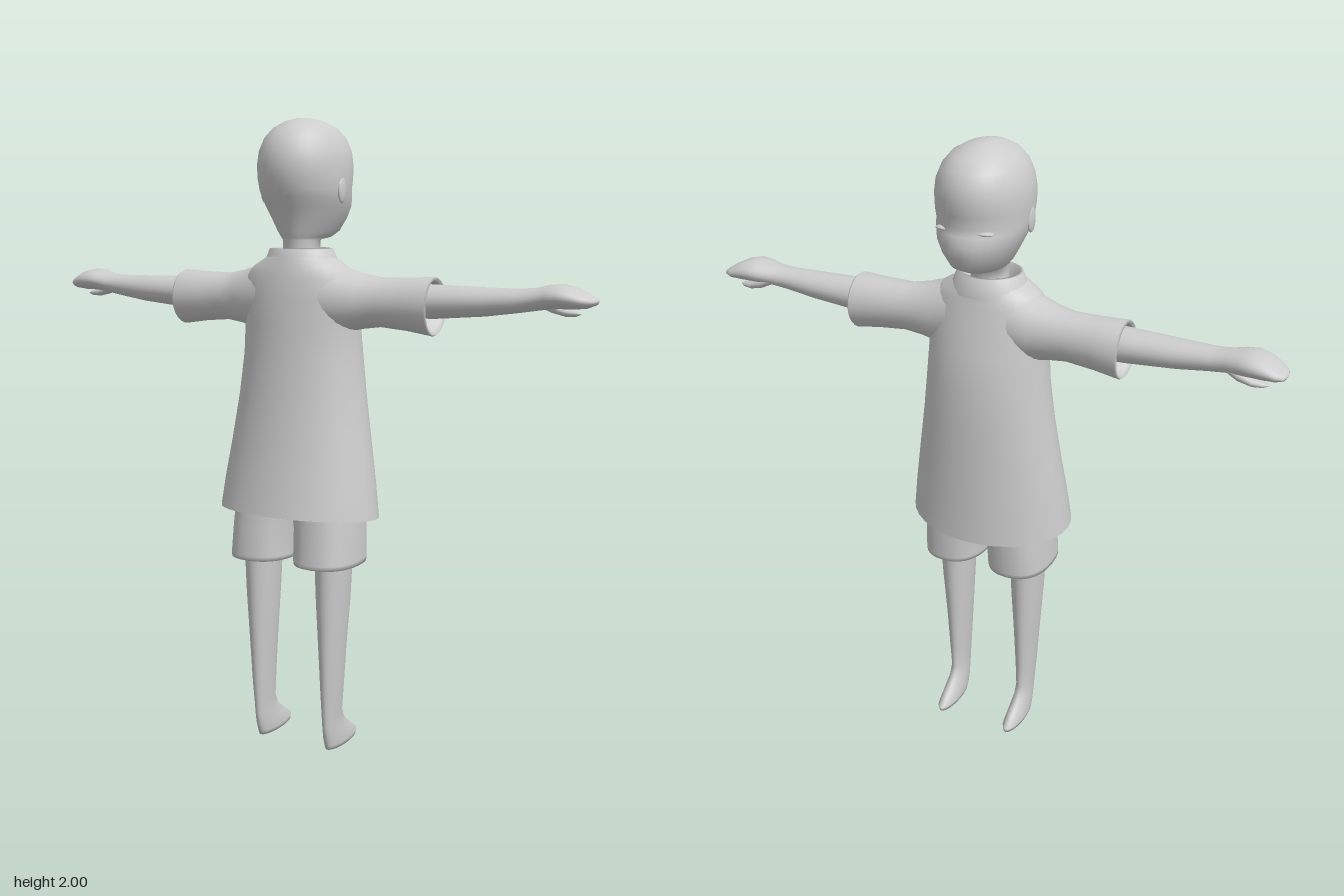
import * as THREE from 'three';

const skinMat = new THREE.MeshStandardMaterial({ color: 0xcccccc, side: THREE.DoubleSide });
skinMat.name = 'light grey';

// Smooth skin over oval sections. Each row is [t, a0, a1, b0, b1, tilt]:
// axis 'y': t = y, a = x range, b = z range; axis 'x': t = x, a = y range, b = z range.
function loft(name, rows, { axis = 'y', side = 1, power = 1, n = 28 } = {}) {
  const pos = [], index = [];
  const round = (v) => Math.sign(v) * Math.pow(Math.abs(v), power);
  for (const [t, a0, a1, b0, b1, tilt = 0] of rows) {
    for (let j = 0; j < n; j++) {
      const th = (j / n) * Math.PI * 2;
      const a = (a0 + a1) / 2 + ((a1 - a0) / 2) * round(Math.cos(th));
      const b = (b0 + b1) / 2 + ((b1 - b0) / 2) * round(Math.sin(th));
      if (axis === 'y') pos.push(a * side, t + tilt * b, b);
      else pos.push(t * side, a, b);
    }
  }
  const flip = (axis === 'x') !== (side < 0);
  for (let i = 0; i < rows.length - 1; i++) {
    for (let j = 0; j < n; j++) {
      const k = (j + 1) % n;
      const a = i * n + j, b = a + n, c = i * n + k, d = c + n;
      if (flip) index.push(a, c, b, c, d, b);
      else index.push(a, b, c, c, b, d);
    }
  }
  const geo = new THREE.BufferGeometry();
  geo.setAttribute('position', new THREE.Float32BufferAttribute(pos, 3));
  geo.setIndex(index);
  geo.computeVertexNormals();
  const mesh = new THREE.Mesh(geo, skinMat);
  mesh.name = name;
  return mesh;
}

function ellipsoid(name, size, at) {
  const geo = new THREE.SphereGeometry(1, 16, 10);
  geo.scale(...size);
  geo.translate(...at);
  const mesh = new THREE.Mesh(geo, skinMat);
  mesh.name = name;
  return mesh;
}

// Symmetric row: half width plus front and back z
const row = (y, rx, zf, zb, tilt) => [y, -rx, rx, zf, zb, tilt];

export function createModel() {
  const g = new THREE.Group();
  g.name = 'child';

  // Neck and head, with the face towards -z
  g.add(loft('head', [
    row(1.54, 0.06, -0.07, 0.06),
    row(1.6, 0.055, -0.068, 0.06),
    row(1.635, 0.055, -0.075, 0.064),
    row(1.642, 0.068, -0.14, 0.068),
    row(1.66, 0.085, -0.178, 0.075),
    row(1.7, 0.108, -0.2, 0.088),
    row(1.735, 0.125, -0.206, 0.105),
    row(1.765, 0.134, -0.198, 0.12),
    row(1.785, 0.137, -0.189, 0.128),
    row(1.82, 0.14, -0.198, 0.14),
    row(1.86, 0.14, -0.203, 0.145),
    row(1.9, 0.134, -0.2, 0.14),
    row(1.94, 0.117, -0.182, 0.122),
    row(1.97, 0.092, -0.148, 0.09),
    row(1.99, 0.055, -0.1, 0.05),
    row(1.998, 0.025, -0.06, 0.015),
    row(2.0, 0.0005, -0.021, -0.02),
  ], { n: 36 }));

  // Shirt body with a hem that dips at the front, open below
  g.add(loft('shirtBody', [
    row(0.777, 0.268, -0.18, 0.205, 0.095),
    row(0.88, 0.255, -0.176, 0.188, 0.05),
    row(1.0, 0.236, -0.172, 0.167),
    row(1.15, 0.213, -0.168, 0.146),
    row(1.28, 0.198, -0.162, 0.132),
    row(1.38, 0.192, -0.145, 0.125),
    row(1.46, 0.195, -0.125, 0.12),
    row(1.52, 0.19, -0.11, 0.112),
    row(1.555, 0.155, -0.103, 0.104),
    row(1.585, 0.105, -0.095, 0.095),
  ], { n: 36 }));
  g.add(loft('collar', [
    row(1.55, 0.13, -0.108, 0.103),
    row(1.575, 0.115, -0.106, 0.097),
    row(1.608, 0.1, -0.092, 0.088),
    row(1.61, 0.09, -0.085, 0.08),
    row(1.57, 0.075, -0.08, 0.07),
  ]));

  // Hips, hidden under the shirt
  g.add(loft('shortsTop', [
    row(0.76, 0.03, -0.08, 0.08),
    row(0.8, 0.205, -0.125, 0.132),
    row(0.95, 0.19, -0.12, 0.125),
    row(0.95, 0.001, -0.001, 0.001),
  ]));

  for (const [side, label] of [[1, 'left'], [-1, 'right']]) {
    g.add(loft(label + 'ShortsLeg', [
      [0.65, 0.07, 0.19, -0.08, 0.1],
      [0.632, 0.02, 0.208, -0.114, 0.142, 0.02],
      [0.626, 0.012, 0.217, -0.122, 0.15, 0.02],
      [0.64, 0.01, 0.217, -0.123, 0.15, 0.02],
      [0.74, 0.008, 0.213, -0.127, 0.14],
      [0.84, -0.01, 0.205, -0.128, 0.13],
    ], { side, power: 0.85 }));

    // Bare leg flowing into a foot that points to -z
    g.add(loft(label + 'Leg', [
      [0.0, 0.124, 0.126, -0.045, -0.044],
      [0.0, 0.097, 0.154, -0.138, 0.05],
      [0.014, 0.094, 0.157, -0.14, 0.054],
      [0.045, 0.097, 0.154, -0.1, 0.065],
      [0.08, 0.101, 0.151, -0.055, 0.071],
      [0.12, 0.101, 0.151, -0.034, 0.074],
      [0.2, 0.097, 0.157, -0.037, 0.08],
      [0.35, 0.089, 0.166, -0.045, 0.088],
      [0.5, 0.08, 0.177, -0.055, 0.094],
      [0.7, 0.07, 0.187, -0.063, 0.097],
    ], { side }));

    // Short wide sleeve with a turned-in cuff
    g.add(loft(label + 'Sleeve', [
      [0.1, 1.35, 1.575, -0.105, 0.1],
      [0.16, 1.355, 1.552, -0.1, 0.088],
      [0.21, 1.368, 1.537, -0.094, 0.07],
      [0.27, 1.376, 1.526, -0.09, 0.056],
      [0.36, 1.368, 1.528, -0.096, 0.056],
      [0.44, 1.356, 1.532, -0.104, 0.062],
      [0.446, 1.36, 1.528, -0.1, 0.058],
      [0.436, 1.37, 1.518, -0.092, 0.05],
      [0.38, 1.41, 1.51, -0.08, 0.04],
    ], { axis: 'x', side }));

    // Forearm tapering to the wrist, then a flat mitten hand
    g.add(loft(label + 'Arm', [
      [0.35, 1.405, 1.512, -0.082, 0.042],
      [0.45, 1.409, 1.51, -0.08, 0.04],
      [0.6, 1.422, 1.507, -0.075, 0.03],
      [0.7, 1.436, 1.506, -0.07, 0.018],
      [0.75, 1.444, 1.51, -0.078, 0.018],
      [0.79, 1.45, 1.52, -0.098, 0.026],
      [0.825, 1.452, 1.523, -0.105, 0.03],
      [0.86, 1.452, 1.515, -0.103, 0.022],
      [0.895, 1.455, 1.498, -0.098, 0.006],
      [0.917, 1.464, 1.484, -0.086, -0.018],
      [0.922, 1.473, 1.475, -0.055, -0.05],
    ], { axis: 'x', side }));
    g.add(loft(label + 'Thumb', [
      [0.75, 1.455, 1.485, -0.075, -0.035],
      [0.79, 1.437, 1.47, -0.085, -0.04],
      [0.83, 1.428, 1.453, -0.082, -0.042],
      [0.86, 1.43, 1.447, -0.075, -0.046],
      [0.875, 1.437, 1.439, -0.062, -0.058],
    ], { axis: 'x', side, n: 14 }));

    // Closed-eye slit and a small flat ear
    g.add(ellipsoid(label + 'Eye', [0.034, 0.007, 0.018], [0.058 * side, 1.775, -0.163]));
    g.add(ellipsoid(label + 'Ear', [0.009, 0.04, 0.022], [0.135 * side, 1.785, -0.012]));
  }
  return g;
}
